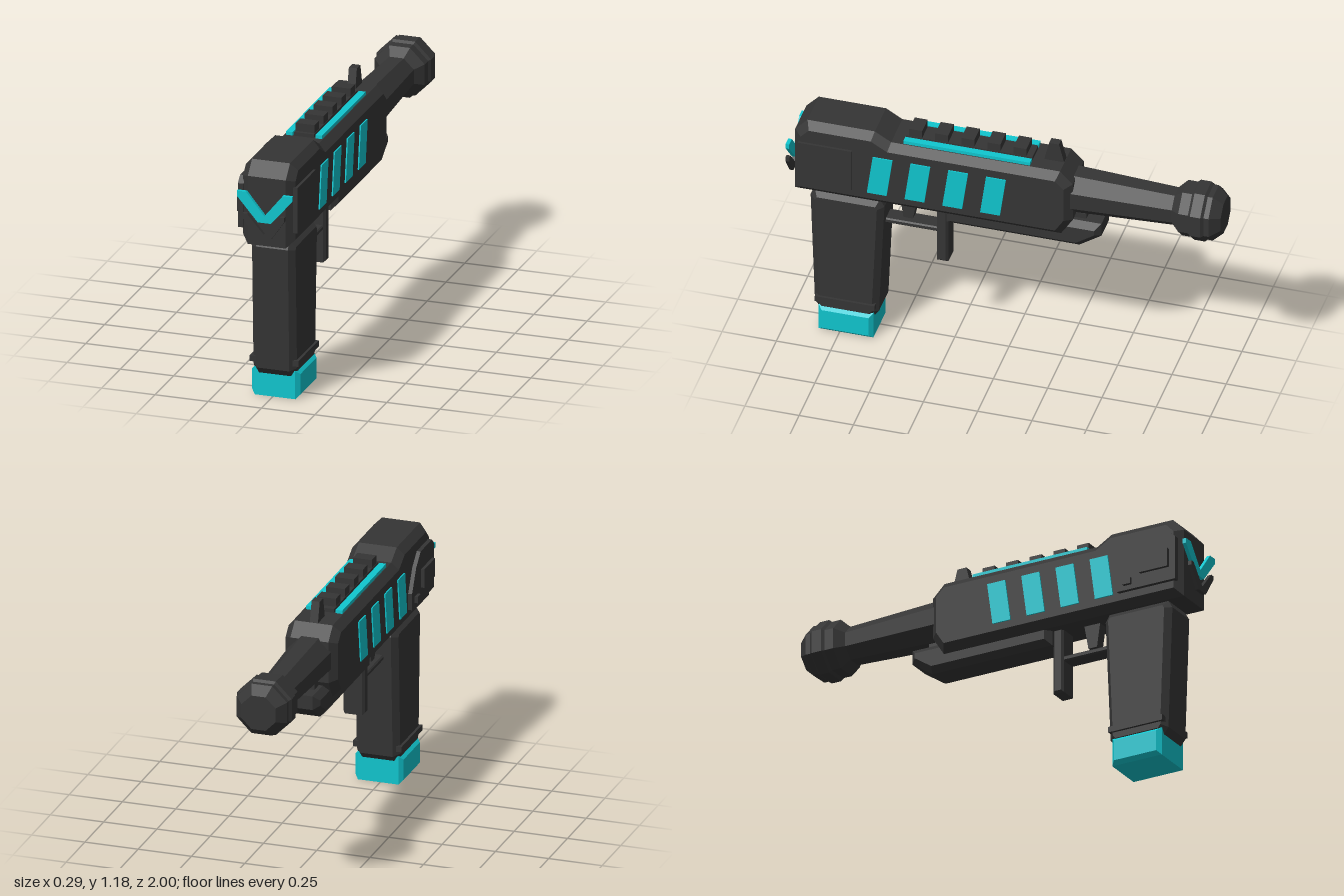
import * as THREE from 'three';

const dark = new THREE.MeshStandardMaterial({ color: 0x353535 });
dark.name = 'charcoal';
const cyan = new THREE.MeshStandardMaterial({ color: 0x10c6cf });
cyan.name = 'cyan';

const CX = 0.0095; // mid-plane of the symmetrical parts
const HALF = 0.123; // half width of the body

export function createModel() {
  const model = new THREE.Group();
  model.name = 'blaster';

  const add = (name, geometry, material = dark) => {
    const mesh = new THREE.Mesh(geometry, material);
    mesh.name = name;
    model.add(mesh);
    return mesh;
  };

  // Side profile of [z, y] points, extruded across x from x0 to x1 with chamfered edges
  const slab = (name, points, x0, x1, bevel = 0, material = dark) => {
    const shape = new THREE.Shape(points.map(([z, y]) => new THREE.Vector2(-z, y)));
    const geometry = new THREE.ExtrudeGeometry(shape, {
      depth: x1 - x0 - 2 * bevel, bevelEnabled: bevel > 0, bevelSegments: 1,
      bevelSize: bevel, bevelThickness: bevel, bevelOffset: -bevel,
    });
    geometry.translate(0, 0, x0 + bevel).rotateY(Math.PI / 2);
    return add(name, geometry, material);
  };
  const centred = (name, points, half, bevel, material) =>
    slab(name, points, CX - half, CX + half, bevel, material);
  const rect = (z0, z1, y0, y1) => [[z0, y0], [z1, y0], [z1, y1], [z0, y1]];

  // Eight-sided turned part along -z from [radius across flats, z] points
  const turned = (name, points) => {
    const k = 1 / Math.cos(Math.PI / 8);
    const lathe = new THREE.LatheGeometry(points.map(([r, z]) => new THREE.Vector2(r * k, -z)), 8);
    const geometry = lathe.rotateY(Math.PI / 8).rotateX(-Math.PI / 2).toNonIndexed();
    geometry.computeVertexNormals();
    add(name, geometry).position.set(CX, 0.946, 0);
  };

  // Body and grip
  centred('body', [[0.957, 0.755], [0.957, 1.077], [0.9, 1.138], [0.59, 1.138], [0.515, 1.094],
    [-0.263, 1.094], [-0.322, 1.035], [-0.322, 0.84], [-0.268, 0.755]], HALF, 0.034);
  centred('grip', [[0.89, 0.72], [0.87, 0.755], [0.57, 0.755], [0.55, 0.72],
    [0.575, 0.14], [0.6, 0.107], [0.845, 0.107], [0.87, 0.14]], 0.102, 0.027);
  centred('gripBase', rect(0.595, 0.847, 0.003, 0.136), 0.113, 0.018, cyan);
  for (const side of [-1, 1]) {
    const x = CX + side * 0.1;
    slab('gripBar', rect(0.585, 0.86, 0.163, 0.19), x - 0.014, x + 0.014);
  }

  // Barrel and muzzle
  turned('barrel', [[0, -0.28], [0.1, -0.28], [0.08, -0.79], [0, -0.79]]);
  turned('muzzle', [[0, -0.77], [0.076, -0.77], [0.118, -0.815], [0.118, -0.86], [0.128, -0.872],
    [0.128, -0.92], [0.118, -0.932], [0.118, -0.955], [0.08, -1], [0, -1]]);

  // Under-barrel block with its small catch
  centred('underBarrel', [[0.268, 0.685], [0.268, 0.79], [-0.25, 0.82], [-0.445, 0.82],
    [-0.445, 0.755], [-0.343, 0.685]], 0.085, 0.027);
  centred('underBarrelCatch', rect(-0.3, -0.37, 0.8, 0.845), 0.04);

  // Trigger and guard
  centred('trigger', [[0.495, 0.77], [0.41, 0.77], [0.433, 0.643], [0.477, 0.643]], 0.025);
  centred('guardBar', rect(0.57, 0.3, 0.605, 0.63), 0.04, 0.006);
  centred('guardPost', rect(0.318, 0.265, 0.453, 0.77), 0.05, 0.01);

  // Top rail, its teeth, glowing strips and the sight
  centred('rail', rect(0.46, -0.123, 1.08, 1.112), 0.046);
  for (let i = 0; i < 5; i++) {
    const z = 0.445 - i * 0.12;
    centred('railTooth', rect(z, z - 0.06, 1.1, 1.15), 0.044);
  }
  for (const side of [-1, 1]) {
    const x = CX + side * 0.069;
    slab('railStrip', rect(0.46, -0.123, 1.085, 1.11), x - 0.016, x + 0.016, 0, cyan);
  }
  centred('sight', [[-0.168, 1.085], [-0.192, 1.187], [-0.238, 1.187], [-0.264, 1.085]], 0.019);

  // Slanted windows on both sides
  for (const side of [-1, 1]) {
    const x = CX + side * (HALF + 0.002);
    for (let i = 0; i < 4; i++) {
      const z = 0.616 - i * 0.174;
      slab('sideWindow', [[z, 0.823], [z - 0.091, 0.823], [z - 0.118, 1.022], [z - 0.027, 1.022]],
        x - 0.004, x + 0.004, 0, cyan);
    }
  }

  // Plain plate on the left side, layered plate on the right side
  slab('leftPlate', rect(0.685, 0.932, 0.823, 1.037), 0.125, 0.144);
  slab('rightPlate', [[0.94, 0.823], [0.94, 1.03], [0.91, 1.06], [0.76, 1.06],
    [0.7, 1.005], [0.645, 0.9], [0.645, 0.823]], -0.132, -0.105);
  slab('rightPlateBlock', rect(0.765, 0.91, 0.886, 0.973), -0.147, -0.125);
  slab('rightPlateButton', rect(0.68, 0.72, 0.845, 0.875), -0.147, -0.125);

  // Floating chevrons ahead of the body: outer arm end, inner notch, lower point
  const chevron = (name, half, inner, foot, top, end, notch, bottom, z0, z1, material) => {
    const right = [[foot, bottom], [half, end], [half, top], [inner, top]];
    const left = right.map(([x, y]) => [-x, y]).reverse();
    const points = [...right, [0, notch], ...left].map(([x, y]) => new THREE.Vector2(x, y));
    const geometry = new THREE.ExtrudeGeometry(new THREE.Shape(points),
      { depth: z1 - z0, bevelEnabled: false });
    add(name, geometry, material).position.set(CX, 0, z0);
  };
  chevron('upperChevron', 0.129, 0.086, 0.031, 1.014, 0.99, 0.908, 0.876, 0.973, 0.99, cyan);
  chevron('lowerChevron', 0.097, 0.078, 0.031, 0.915, 0.895, 0.825, 0.8, 0.982, 1, dark);

  return model;
}
